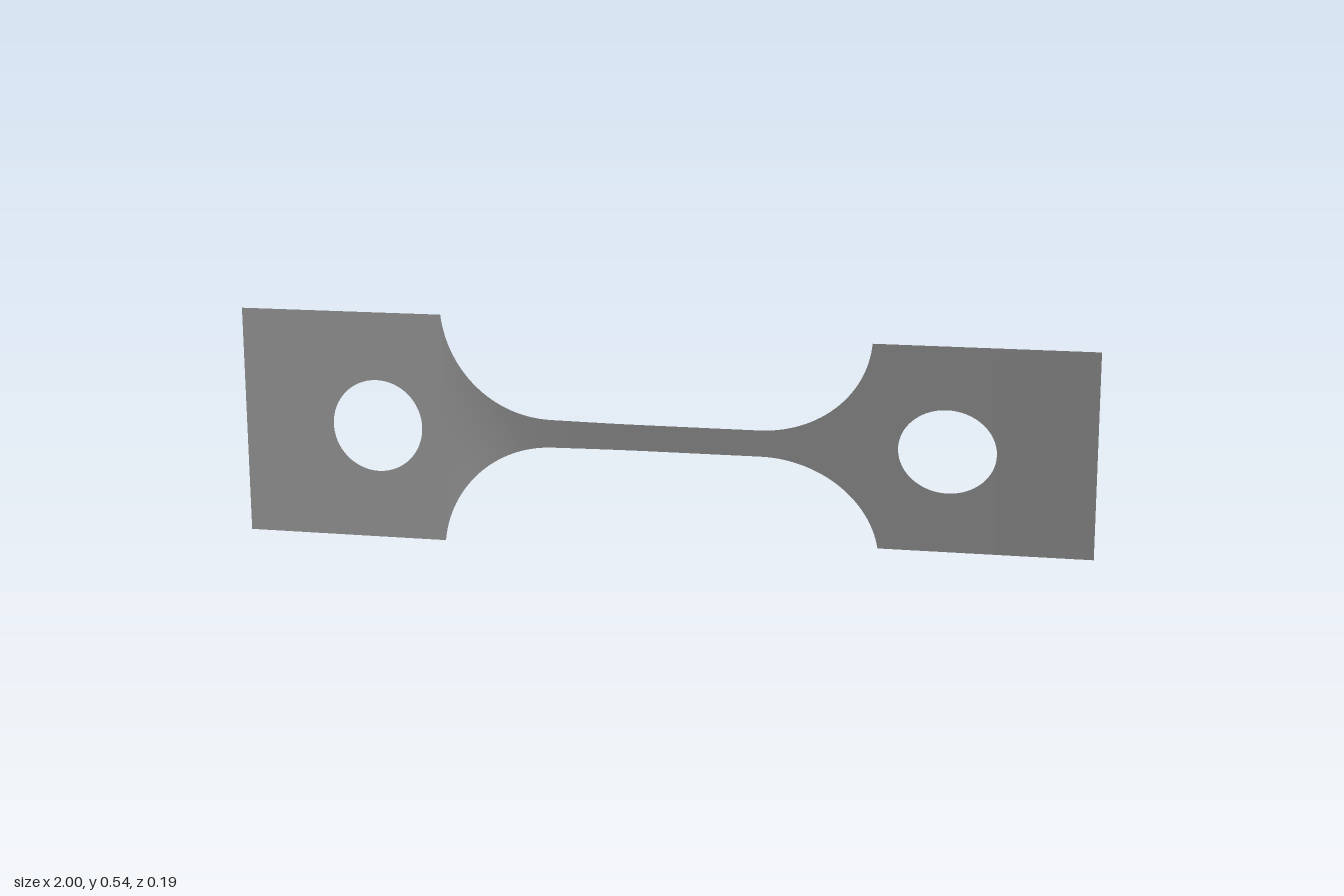
import * as THREE from 'three';
import { mergeVertices } from 'three/addons/utils/BufferGeometryUtils.js';

const HALF = 0.2715;                          // half height of the end plates
const HOLE = { x: 0.67, r: 0.11 };
const FILLET = { x: 0.245, y: 0.3, r: 0.265 }; // arc joining plate to neck
const FILLET_END = Math.asin((FILLET.y - HALF) / FILLET.r);
const SHOULDER = FILLET.x + FILLET.r * Math.cos(FILLET_END);

// Twist angle about the long axis, concentrated in the left half of the neck
function twist(x) {
  const s = THREE.MathUtils.smoothstep(x, -0.52, -0.02);
  return THREE.MathUtils.degToRad(0.8 + 18.6 * s + 0.6 * Math.max(0, x));
}

// Adds a twisted band through columns [x, bottom, top], from left to right
function addBand(positions, columns, rows) {
  const point = (i, j) => {
    const [x, lo, hi] = columns[i];
    const v = lo + (hi - lo) * j / rows;
    const a = twist(x);
    return [x, HALF + v * Math.cos(a), v * Math.sin(a)];
  };
  for (let i = 0; i < columns.length - 1; i++) {
    for (let j = 0; j < rows; j++) {
      const a = point(i, j), b = point(i + 1, j), c = point(i + 1, j + 1), d = point(i, j + 1);
      positions.push(...a, ...b, ...c, ...a, ...c, ...d);
    }
  }
}

function makeSheet(build) {
  const positions = [];
  build(positions);
  const geometry = new THREE.BufferGeometry();
  geometry.setAttribute('position', new THREE.Float32BufferAttribute(positions, 3));
  const merged = mergeVertices(geometry, 1e-5);
  merged.computeVertexNormals();
  return merged;
}

// Flat grip plate with a round hole; side is -1 or 1
function gripGeometry(side) {
  const cx = side * HOLE.x, outer = side, inner = side * SHOULDER;
  const [x0, x1] = outer < inner ? [outer, inner] : [inner, outer];
  return makeSheet((p) => {
    const solid = (a, b) => addBand(p, [[a, -HALF, HALF], [b, -HALF, HALF]], 8);
    solid(x0, cx - HOLE.r);
    solid(cx + HOLE.r, x1);
    const above = [], below = [];
    for (let i = 0; i <= 32; i++) {
      const t = Math.PI * i / 32;
      const x = cx - HOLE.r * Math.cos(t), h = HOLE.r * Math.sin(t);
      above.push([x, h, HALF]);
      below.push([x, -HALF, -h]);
    }
    addBand(p, above, 4);
    addBand(p, below, 4);
  });
}

// Narrow neck flaring through round fillets at both ends
function neckGeometry() {
  const flare = [];
  for (let i = 0; i <= 28; i++) {
    const t = FILLET_END + (Math.PI / 2 - FILLET_END) * i / 28;
    const h = FILLET.y - FILLET.r * Math.sin(t);
    flare.push([-FILLET.x - FILLET.r * Math.cos(t), -h, h]);
  }
  const h = FILLET.y - FILLET.r;
  const straight = [];
  for (let i = 1; i < 24; i++) straight.push([-FILLET.x + 2 * FILLET.x * i / 24, -h, h]);
  const mirrored = flare.map(([x, lo, hi]) => [-x, lo, hi]).reverse();
  return makeSheet((p) => addBand(p, [...flare, ...straight, ...mirrored], 8));
}

export function createModel() {
  const group = new THREE.Group();
  group.name = 'twistedTestStrip';
  const steel = new THREE.MeshStandardMaterial({ color: 0xb2b2b2, side: THREE.DoubleSide });
  steel.name = 'steel grey';
  const add = (name, geometry) => {
    const mesh = new THREE.Mesh(geometry, steel);
    mesh.name = name;
    group.add(mesh);
  };
  add('rightGripPlate', gripGeometry(-1));
  add('twistedNeck', neckGeometry());
  add('leftGripPlate', gripGeometry(1));
  return group;
}
